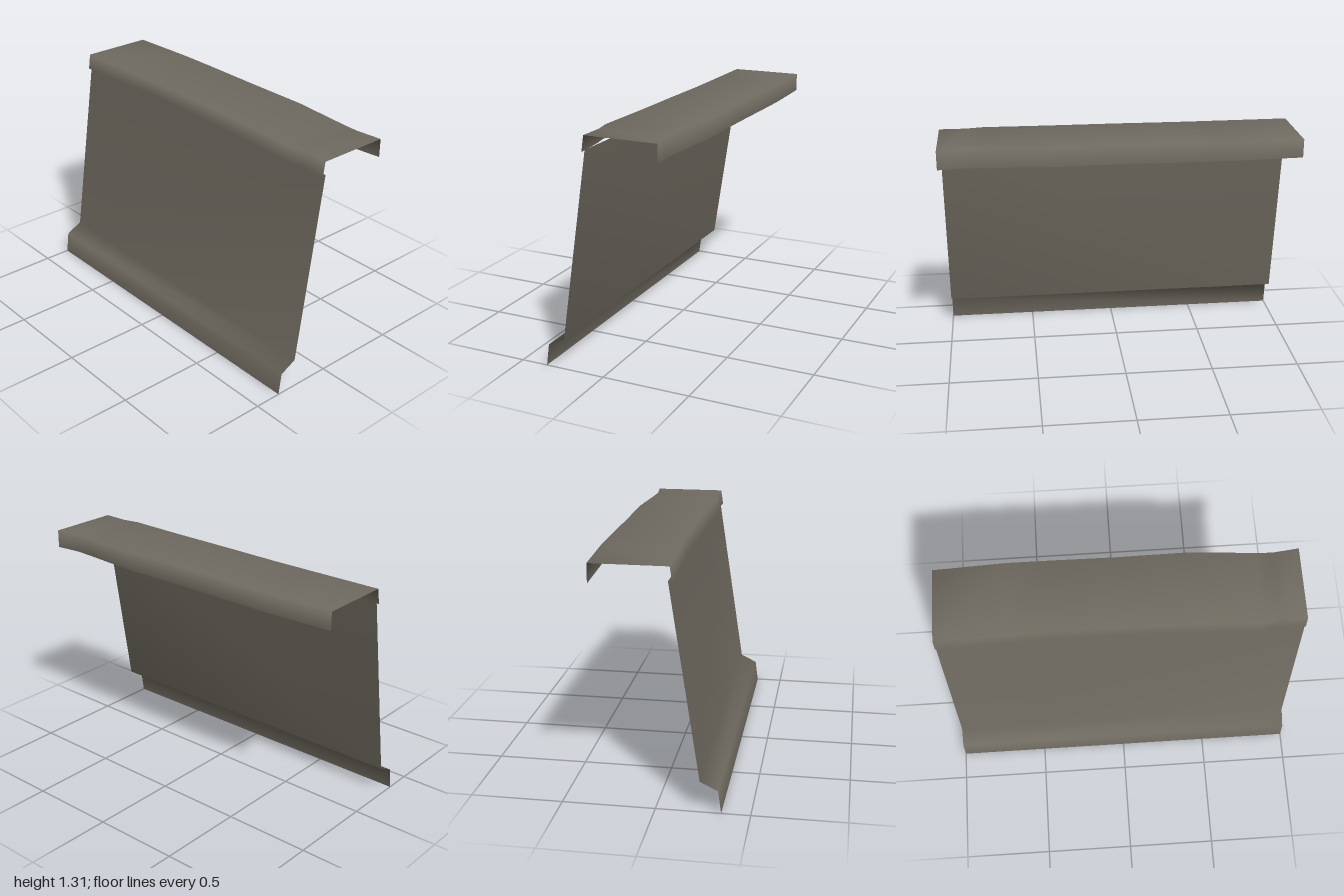
import * as THREE from 'three';

// Smooth thin sheet: each section is a list of [x, y, z] points, sections run along +x
function sheet(name, sections, material) {
  const rows = sections[0].length;
  const index = [];
  for (let i = 0; i < sections.length - 1; i++) {
    for (let j = 0; j < rows - 1; j++) {
      const a = i * rows + j, b = a + rows;
      index.push(a, b, b + 1, a, b + 1, a + 1);
    }
  }
  const geometry = new THREE.BufferGeometry();
  geometry.setAttribute('position', new THREE.Float32BufferAttribute(sections.flat(2), 3));
  geometry.setIndex(index);
  geometry.computeVertexNormals();
  const mesh = new THREE.Mesh(geometry, material);
  mesh.name = name;
  return mesh;
}

export function createModel() {
  const metal = new THREE.MeshStandardMaterial({ color: 0x706b61, side: THREE.DoubleSide });
  metal.name = 'weathered grey';

  const group = new THREE.Group();
  group.name = 'wallPanelWithCap';

  // Leaning panel with a stepped foot: [y, z]
  const profile = [[0, 0.346], [0.125, 0.329], [0.172, 0.233], [1.232, 0.073]];
  group.add(sheet('panel', [-1, 1].map((x) => profile.map(([y, z]) => [x, y, z])), metal));

  // Bent cap with uneven edges: [x, front lip z, back lip z, top y, front lip y]
  const stations = [
    [-1, 0.095, -0.332, 1.307, 1.218],
    [-0.6, 0.086, -0.348, 1.309, 1.229],
    [-0.35, 0.079, -0.346, 1.311, 1.23],
    [0, 0.083, -0.342, 1.312, 1.23],
    [0.4, 0.091, -0.347, 1.31, 1.23],
    [0.75, 0.105, -0.321, 1.308, 1.23],
    [0.85, 0.087, -0.316, 1.308, 1.23],
    [1, 0.092, -0.333, 1.307, 1.218],
  ];
  group.add(sheet('cap', stations.map(([x, front, back, top, lip]) => [
    [x, lip, front],
    [x, top, front - 0.013],
    [x, top, back],
    [x, 1.203, back],
  ]), metal));

  return group;
}
